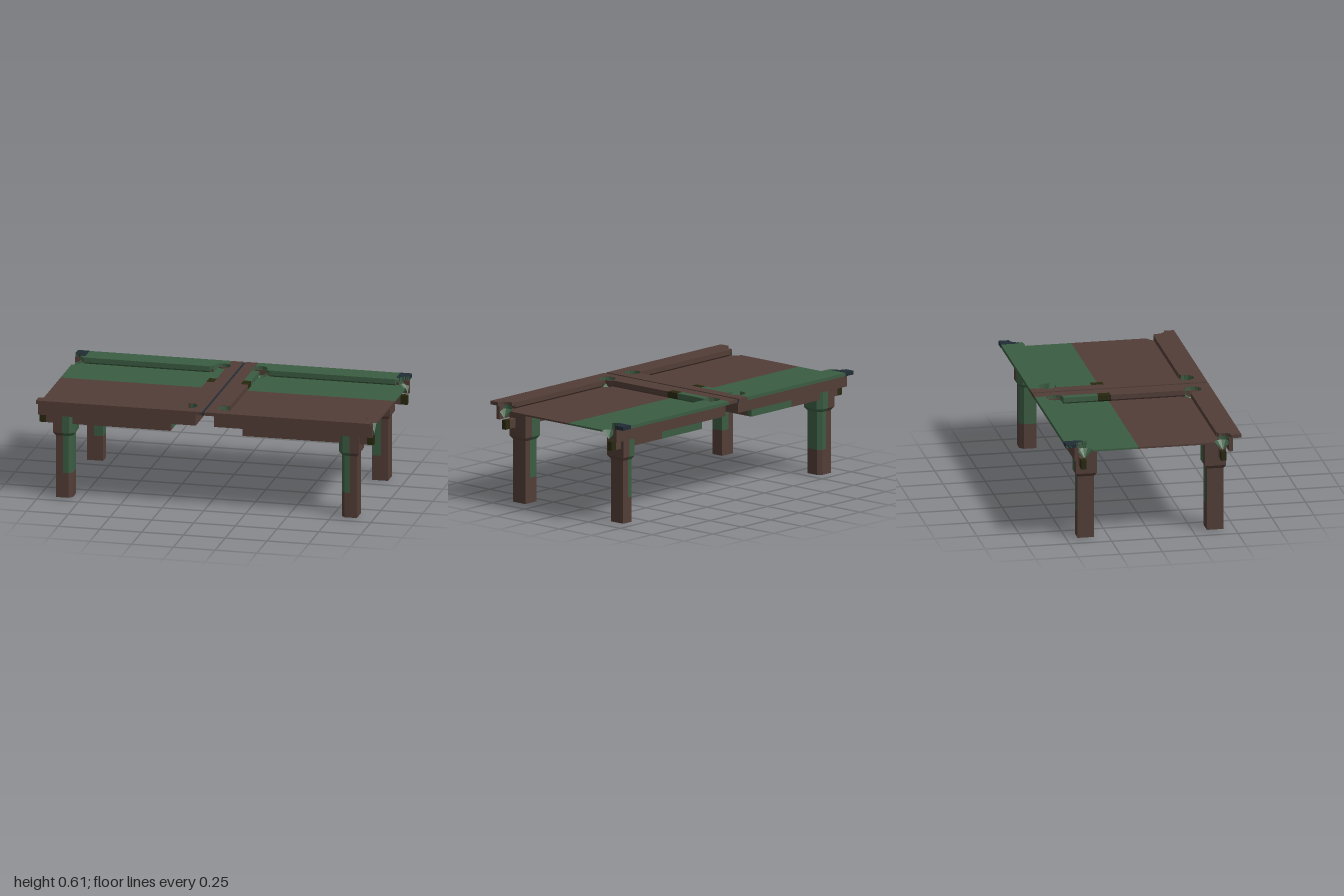
import * as THREE from 'three';

const D = Math.PI / 180;

export function createModel() {
  const root = new THREE.Group();
  root.name = 'splitGameTable';
  const material = (name, color, side = THREE.FrontSide) => {
    const m = new THREE.MeshStandardMaterial({ color, side });
    m.name = name;
    return m;
  };
  const brown = material('darkBrown', 0x523d37);
  const green = material('forestGreen', 0x3b5c42, THREE.DoubleSide);
  const navy = material('navy', 0x202c34);
  const olive = material('olive', 0x28280f);

  // Adds a flat-shaded part, mirrored by sx and sz
  const add = (name, geometry, mat, sx = 1, sz = 1) => {
    const g = geometry.index ? geometry.toNonIndexed() : geometry.clone();
    g.scale(sx, 1, sz);
    if (sx * sz < 0) {
      const p = g.attributes.position;
      const a = new THREE.Vector3(), b = new THREE.Vector3();
      for (let i = 0; i < p.count; i += 3) {
        a.fromBufferAttribute(p, i);
        b.fromBufferAttribute(p, i + 1);
        p.setXYZ(i, b.x, b.y, b.z);
        p.setXYZ(i + 1, a.x, a.y, a.z);
      }
    }
    g.computeVertexNormals();
    g.clearGroups();
    const mesh = new THREE.Mesh(g, mat);
    mesh.name = name;
    root.add(mesh);
  };

  const box = (x0, x1, y0, y1, z0, z1) =>
    new THREE.BoxGeometry(x1 - x0, y1 - y0, z1 - z0)
      .translate((x0 + x1) / 2, (y0 + y1) / 2, (z0 + z1) / 2);

  // Horizontal slab from an outline of [x, z] points
  const slab = (pts, y0, y1) =>
    new THREE.ExtrudeGeometry(new THREE.Shape(pts.map(p => new THREE.Vector2(...p))),
      { depth: y1 - y0, bevelEnabled: false }).rotateX(Math.PI / 2).translate(0, y1, 0);

  const R = 0.05, PX = 0.11, PZ = 0.41;
  const arc = (cx, cz, from, to, n = 8) => Array.from({ length: n + 1 }, (_, i) => {
    const t = (from + (to - from) * i / n) * D;
    return [cx + R * Math.cos(t), cz + R * Math.sin(t)];
  });

  // Cushion with an undercut nose facing +x, running along z
  const cushion = (back, nose, top, z0, z1) =>
    new THREE.ExtrudeGeometry(new THREE.Shape([
      [back, top], [back, 0.565], [nose - 0.013, 0.565], [nose, 0.576], [nose, top],
    ].map(p => new THREE.Vector2(...p))), { depth: z1 - z0, bevelEnabled: false }).translate(0, 0, z0);

  // Column section with the corner facing the middle and outside cut off
  const column = (x0, x1, z0, z1, c) => [[x0, z0], [x1, z0], [x1, z1], [x0 + c, z1], [x0, z1 - c]];

  // Outlines
  const sideRail = [[0.08, 0.52], [1, 0.52], ...arc(1, PZ, 90, 200),
    [0.93, 0.385], [0.18, 0.385], ...arc(PX, PZ, -20, 126.87, 10)];
  const railCorner = [[0.93, 0.521], [1, 0.521], ...arc(1, PZ, 90, 180), [0.93, 0.42]];
  const endRail = [[0.008, -0.52], [0.08, -0.52], ...arc(PX, -PZ, 233.13, 126.87),
    ...arc(PX, PZ, 233.13, 126.87), [0.08, 0.52], [0.008, 0.52]];
  const split = -0.09;
  const bedBack = [...arc(PX, -PZ, 90, 0), ...arc(1, -PZ, 180, 90), [1, split], [PX, split]];
  const bedFront = [[PX, split], [1, split], ...arc(1, PZ, 270, 180), ...arc(PX, PZ, 0, -90)];

  // Pocket cups: full at the middle, cut in half at the open ends
  const pocketWall = (x, start, length) =>
    new THREE.CylinderGeometry(R, R, 0.04, 12, 1, true, start * D, length * D).translate(x, 0.584, PZ);
  const pocketCone = (x, start, length) =>
    new THREE.CylinderGeometry(R, 0.002, 0.047, length > 200 ? 12 : 6, 1, true, start * D, length * D)
      .translate(x, 0.5415, PZ);

  for (const sx of [1, -1]) {
    // Playing bed
    add('bedBack', slab(bedBack, 0.555, 0.565), green, sx);
    add('bedFront', slab(bedFront, 0.555, 0.565), brown, sx);

    // End rail and its cushion
    add('endRail', slab(endRail, 0.585, 0.605), brown, sx);
    add('endCushionBack', cushion(0.08, 0.125, 0.605, -0.361, -0.155), green, sx);
    add('endCushionPatch', cushion(0.08, 0.125, 0.605, -0.155, -0.08), olive, sx);
    add('endCushionFront', cushion(0.08, 0.125, 0.605, -0.08, 0.361), brown, sx);

    // End apron and the lower board inside it
    add('endApron', box(0.055, 0.08, 0.505, 0.585, -0.47, 0.47), brown, sx);
    for (const [z0, z1, mat] of [[-0.4, -0.1, brown], [-0.1, -0.05, green],
      [-0.05, 0.02, navy], [0.02, 0.4, green]]) {
      add('endSkirt', box(0.215, 0.245, 0.45, 0.505, z0, z1), mat, sx);
    }
    add('backRailCorner', slab(railCorner, 0.584, 0.606), navy, sx, -1);

    for (const sz of [1, -1]) {
      const main = sz > 0 ? brown : green;
      // Side rail, cushion and apron
      add('sideRail', slab(sideRail, 0.585, 0.605), main, sx, sz);
      add('sideCushion', cushion(-0.415, -0.384, 0.604, 0.18, 0.93).rotateY(Math.PI / 2), main, sx, sz);
      add('sideApron', box(0.055, 1, 0.505, 0.585, 0.447, 0.47), brown, sx, sz);

      // Lower side board
      add('sideSkirtInner', box(0.215, 0.56, 0.45, 0.505, 0.4, 0.43), main, sx, sz);
      add('sideSkirtOuter', box(0.56, 0.96, 0.45, 0.505, 0.4, 0.43), brown, sx, sz);
      add('sideSkirtTip', box(0.96, 1, 0.45, 0.505, 0.4, 0.43), olive, sx, sz);

      // Pockets
      add('cornerPocketWall', pocketWall(PX, -190, 300), green, sx, sz);
      add('cornerPocketCup', pocketCone(PX, 0, 360), green, sx, sz);
      add('sidePocketWall', pocketWall(1, -110, 110), green, sx, sz);
      add('sidePocketCup', pocketCone(1, -180, 180), green, sx, sz);

      // Leg shaft
      const inner = column(0.805, 0.86, 0.335, 0.432, 0.022);
      add('legOuter', box(0.86, 0.9, 0, 0.38, 0.335, 0.432), brown, sx, sz);
      add('legFoot', slab(inner, 0, 0.15), brown, sx, sz);
      add('legInner', slab(inner, 0.15, 0.38), green, sx, sz);

      // Leg cap, its lower edge drawn in to meet the shaft
      const taper = g => {
        const p = g.attributes.position;
        for (let i = 0; i < p.count; i++) {
          if (p.getY(i) > 0.38) continue;
          const x = p.getX(i);
          if (Math.abs(x - 0.86) > 0.001) p.setX(i, 0.8525 + (x - 0.8525) * 0.77);
          p.setZ(i, 0.3835 + (p.getZ(i) - 0.3835) * 0.78);
        }
        return g;
      };
      const capInner = column(0.79, 0.86, 0.32, 0.446, 0.028);
      const capOuter = column(0.86, 0.915, 0.32, 0.446, 0);
      for (const [pts, mat] of [[capInner, green], [capOuter.slice(0, 4), brown]]) {
        add('legCap', slab(pts, 0.395, 0.56), mat, sx, sz);
        add('legCapTaper', taper(slab(pts, 0.375, 0.395)), mat, sx, sz);
      }
    }
  }

  // Dark seam joining the two halves
  add('centreSeam', box(-0.008, 0.008, 0.585, 0.6, -0.52, 0.52), navy);
  return root;
}
